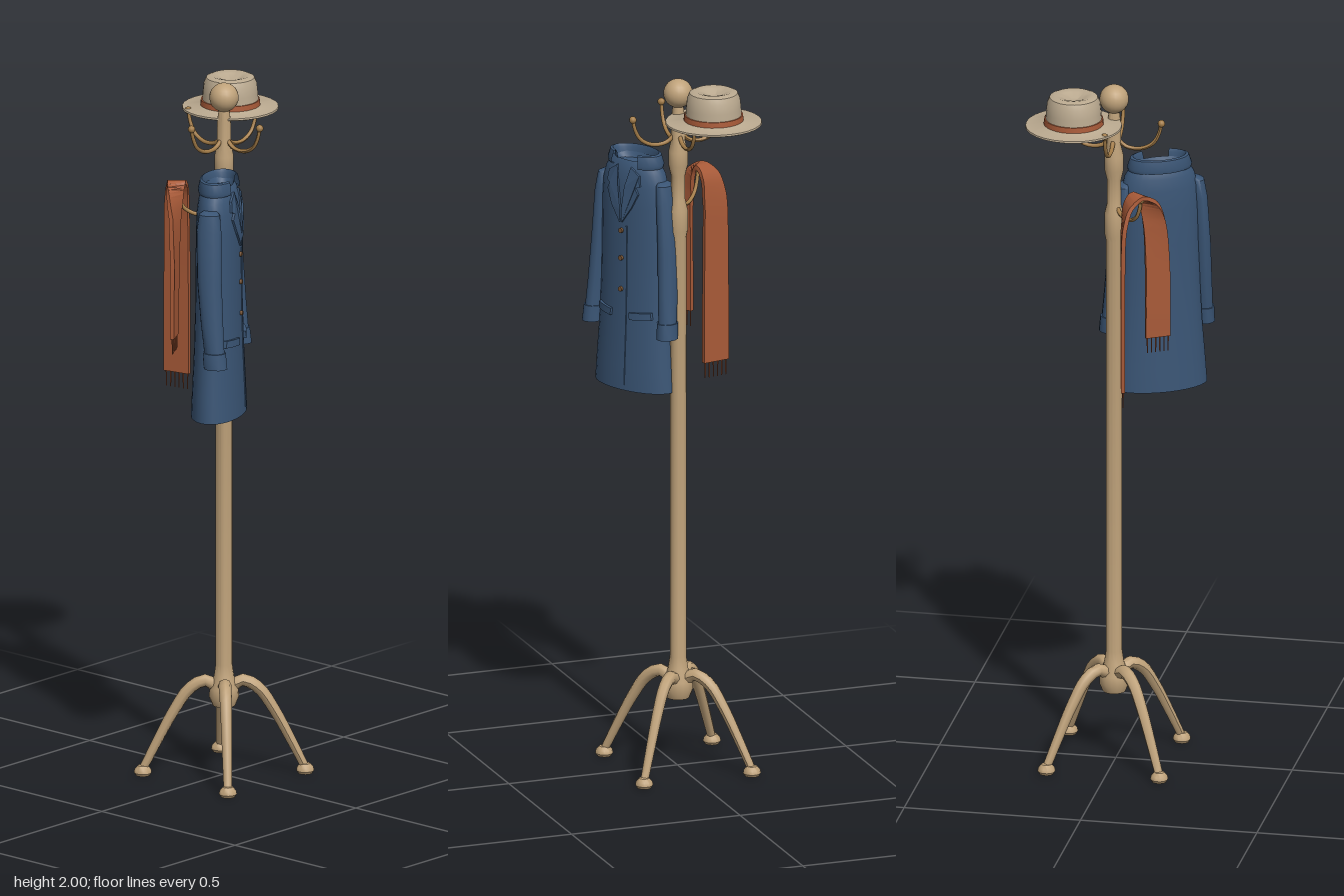
import * as THREE from 'three';
import { toCreasedNormals } from 'three/addons/utils/BufferGeometryUtils.js';

const paint = (color, side = THREE.FrontSide) => {
  const m = new THREE.MeshStandardMaterial({ side });
  m.color.set(color);
  return m;
};
const wood = paint(0xbfa27a), brass = paint(0xa37c48), felt = paint(0xbbaa90), rust = paint(0xa85a38);
const cloth = paint(0x3a5575, THREE.DoubleSide), horn = paint(0x7a5636);
const v2 = (list) => list.map(([x, y]) => new THREE.Vector2(x, y));
const v3 = (list) => list.map((p) => new THREE.Vector3(...p));
const lathe = (list, n = 24, ...arc) => toCreasedNormals(new THREE.LatheGeometry(v2(list), n, ...arc), 0.7);

function add(parent, name, geo, mat, x = 0, y = 0, z = 0) {
  const m = new THREE.Mesh(geo, mat);
  m.name = name;
  m.position.set(x, y, z);
  parent.add(m);
  return m;
}

// Tube whose radius runs from r0 to r1
function taperTube(points, r0, r1, segs, sides) {
  const curve = new THREE.CatmullRomCurve3(v3(points));
  const geo = new THREE.TubeGeometry(curve, segs, 1, sides);
  const pos = geo.attributes.position, v = new THREE.Vector3();
  for (let i = 0; i < pos.count; i++) {
    const t = Math.floor(i / (sides + 1)) / segs, c = curve.getPointAt(t);
    v.fromBufferAttribute(pos, i).sub(c).multiplyScalar(r0 + (r1 - r0) * t).add(c);
    pos.setXYZ(i, v.x, v.y, v.z);
  }
  geo.computeVertexNormals();
  return geo;
}

// Skin joining equal rings of points, closed at both ends
function loft(rings, crease) {
  const n = rings[0].length, idx = [], last = (rings.length - 1) * n;
  for (let r = 0; r < rings.length - 1; r++)
    for (let k = 0; k < n; k++) {
      const a = r * n + k, b = r * n + (k + 1) % n;
      idx.push(a, b, a + n, b, b + n, a + n);
    }
  for (let k = 1; k < n - 1; k++) idx.push(0, k + 1, k, last, last + k, last + k + 1);
  const geo = new THREE.BufferGeometry();
  geo.setAttribute('position', new THREE.Float32BufferAttribute(rings.flat().flatMap((p) => [p.x, p.y, p.z]), 3));
  geo.setIndex(idx);
  geo.computeVertexNormals();
  return toCreasedNormals(geo, crease);
}

function buildStand() {
  const g = new THREE.Group();
  g.name = 'stand';
  add(g, 'pole', lathe([[0, 0.2], [0.032, 0.2], [0.042, 0.225], [0.04, 0.25], [0.028, 0.285], [0.023, 0.32],
    [0.023, 1.54], [0.027, 1.56], [0.027, 1.62], [0.02, 1.65], [0.02, 1.72], [0.027, 1.75], [0.027, 1.79],
    [0.02, 1.82], [0.019, 1.89], [0.014, 1.93], [0, 1.93]], 16), wood);
  add(g, 'finial', new THREE.SphereGeometry(0.041, 20, 14), wood, 0, 1.959, 0);
  for (let i = 0; i < 4; i++) {
    const leg = new THREE.Group();
    leg.name = 'leg';
    leg.rotation.y = Math.PI / 4 + i * Math.PI / 2;
    add(leg, 'legArm', taperTube([[0.015, 0.25, 0], [0.05, 0.272, 0], [0.095, 0.25, 0], [0.14, 0.185, 0],
      [0.185, 0.1, 0], [0.222, 0.025, 0]], 0.019, 0.012, 16, 8), wood);
    add(leg, 'foot', lathe([[0, 0], [0.02, 0], [0.025, 0.008], [0.023, 0.018], [0.014, 0.028], [0, 0.03]], 12), wood, 0.226);
    g.add(leg);
  }
  // Four upper hooks on the axes, two lower hooks on the right diagonals
  const hooks = [0, 1, 2, 3].map((i) => [i * Math.PI / 2, 0]);
  hooks.push([Math.PI * 0.75, -0.195], [Math.PI * 1.25, -0.195]);
  for (const [angle, drop] of hooks) {
    const hook = new THREE.Group();
    hook.name = 'hook';
    hook.rotation.y = angle;
    hook.position.y = drop;
    add(hook, 'hookArm', taperTube([[0.01, 1.84, 0], [0.035, 1.82, 0], [0.075, 1.817, 0], [0.11, 1.835, 0],
      [0.127, 1.865, 0], [0.134, 1.895, 0]], 0.0065, 0.005, 18, 8), brass);
    add(hook, 'hookTip', new THREE.SphereGeometry(0.0105, 10, 8), brass, 0.134, 1.895, 0);
    g.add(hook);
  }
  g.position.x = 0.005;
  return g;
}

function buildHat() {
  const g = new THREE.Group();
  g.name = 'hat';
  add(g, 'hatBody', lathe([[0, 1.897], [0.08, 1.897], [0.128, 1.892], [0.135, 1.895], [0.134, 1.9], [0.085, 1.904],
    [0.079, 1.908], [0.077, 1.94], [0.074, 1.967], [0.067, 1.983], [0.053, 1.989], [0.035, 1.984],
    [0.015, 1.974], [0, 1.972]], 28), felt);
  add(g, 'hatBand', lathe([[0.077, 1.902], [0.084, 1.902], [0.082, 1.92], [0.076, 1.92]], 28), rust);
  g.position.set(0.106, 0, -0.068);
  return g;
}

function buildCoat() {
  const g = new THREE.Group();
  g.name = 'coat';
  const flat = 0.53;
  const profile = [[0.137, 1.09], [0.132, 1.16], [0.122, 1.28], [0.116, 1.4], [0.114, 1.52], [0.113, 1.62],
    [0.109, 1.68], [0.1, 1.715], [0.085, 1.74], [0.072, 1.75]];
  const body = lathe([[0, 1.13], [0.125, 1.115], [0.131, 1.09], ...profile, [0.06, 1.735], [0, 1.725]], 28);
  add(g, 'coatBody', body.scale(1, 1, flat), cloth);

  // Pushes a flat piece forward onto the curved coat front
  const onFront = (geo) => {
    const p = geo.attributes.position;
    for (let i = 0; i < p.count; i++) {
      const y = p.getY(i), x = p.getX(i);
      const k = Math.max(0, profile.findIndex((q, j) => j < profile.length - 1 && y <= profile[j + 1][1]));
      const [r0, y0] = profile[k], [r1, y1] = profile[k + 1];
      const r = r0 + (r1 - r0) * (y - y0) / (y1 - y0);
      p.setZ(i, p.getZ(i) + flat * Math.sqrt(Math.max(0, r * r - x * x)));
    }
    geo.computeVertexNormals();
    return geo;
  };

  // Stand-and-fall collar, open in front
  const collar = lathe([[0.068, 1.735], [0.09, 1.732], [0.093, 1.742], [0.084, 1.768], [0.076, 1.771],
    [0.07, 1.762], [0.068, 1.735]], 24, 0.55, Math.PI * 2 - 1.1);
  add(g, 'collar', collar.scale(1, 1, 0.6), cloth);
  add(g, 'frontEdge', onFront(new THREE.BoxGeometry(0.004, 0.46, 0.005, 1, 8, 1).translate(0.018, 1.335, 0)), cloth);
  for (const y of [1.55, 1.47, 1.38])
    add(g, 'button', onFront(new THREE.CylinderGeometry(0.007, 0.007, 0.009, 10).rotateX(Math.PI / 2).translate(0, y, 0.002)), horn);

  for (const s of [-1, 1]) {
    const lapel = new THREE.Shape(v2([[0.025, 1.735], [0.055, 1.715], [0.06, 1.685], [0.047, 1.68], [0.056, 1.662],
      [0.036, 1.62], [0.004, 1.575], [0.002, 1.61], [0.012, 1.68]].map(([x, y]) => [s * x, y])));
    add(g, 'lapel', onFront(new THREE.ExtrudeGeometry(lapel, { depth: 0.006, bevelEnabled: false })), cloth);
    const pocket = new THREE.BoxGeometry(0.062, 0.02, 0.012, 6, 1, 1).rotateZ(s * 0.08).translate(s * 0.065, 1.31, 0.002);
    add(g, 'pocketFlap', onFront(pocket), cloth);

    // Each ring: centre out, height, centre forward, half width, half depth
    const rings = [[0.1, 1.698, 0, 0.012, 0.018], [0.108, 1.69, 0, 0.02, 0.03], [0.114, 1.64, 0, 0.023, 0.036],
      [0.123, 1.5, 0.004, 0.025, 0.035], [0.13, 1.38, 0.013, 0.025, 0.032], [0.136, 1.3, 0.021, 0.024, 0.029],
      [0.136, 1.3, 0.021, 0.028, 0.033], [0.138, 1.255, 0.025, 0.029, 0.034], [0.138, 1.255, 0.025, 0.022, 0.027],
      [0.137, 1.275, 0.024, 0.021, 0.026]].map(([x, y, z, a, b]) =>
      Array.from({ length: 12 }, (_, k) => {
        const t = k / 12 * Math.PI * 2;
        return new THREE.Vector3(s * x + a * Math.cos(t), y, z + b * Math.sin(t));
      }));
    add(g, 'sleeve', loft(rings, 0.8), cloth);
  }
  g.position.set(-0.107, 0, 0.083);
  g.rotation.y = THREE.MathUtils.degToRad(28);
  return g;
}

function buildScarf() {
  const g = new THREE.Group();
  g.name = 'scarf';
  // Each station: x, y, z, heading of the width in degrees, width
  const st = [[-0.046, 1.15, -0.13, 78, 0.08], [-0.046, 1.32, -0.13, 78, 0.08], [-0.046, 1.5, -0.13, 78, 0.078],
    [-0.049, 1.63, -0.128, 76, 0.074], [-0.06, 1.69, -0.117, 66, 0.064], [-0.083, 1.712, -0.098, 45, 0.05],
    [-0.106, 1.692, -0.082, 8, 0.054], [-0.122, 1.63, -0.068, -20, 0.064], [-0.13, 1.5, -0.062, -31, 0.07],
    [-0.131, 1.4, -0.062, -31, 0.072], [-0.131, 1.285, -0.062, -31, 0.072]];
  const curve = new THREE.CatmullRomCurve3(v3(st.map((p) => p.slice(0, 3))));
  const steps = 50, rings = [];
  const widthDir = (deg) => {
    const a = THREE.MathUtils.degToRad(deg);
    return new THREE.Vector3(Math.cos(a), 0, Math.sin(a));
  };
  for (let i = 0; i <= steps; i++) {
    const f = i / steps * (st.length - 1), k = Math.min(Math.floor(f), st.length - 2);
    const mix = (j) => THREE.MathUtils.lerp(st[k][j], st[k + 1][j], f - k);
    const c = curve.getPoint(i / steps), w = widthDir(mix(3));
    const n = new THREE.Vector3().crossVectors(curve.getTangent(i / steps), w).normalize().multiplyScalar(0.006);
    w.multiplyScalar(mix(4) / 2);
    rings.push([[-1, -1], [1, -1], [1, 1], [-1, 1]].map(([a, b]) => c.clone().addScaledVector(w, a).addScaledVector(n, b)));
  }
  add(g, 'scarfBand', loft(rings, 0.5), rust);

  // Fringe threads under both ends
  for (const [x, y, z, deg, width] of [st[0], st[st.length - 1]])
    for (let i = 0; i < 6; i++) {
      const p = widthDir(deg).multiplyScalar((i / 5 - 0.5) * width * 0.85);
      add(g, 'fringe', new THREE.CylinderGeometry(0.0022, 0.0016, 0.05, 5), rust, x + p.x, y - 0.02, z + p.z);
    }
  return g;
}

export function createModel() {
  const model = new THREE.Group();
  model.name = 'coatStand';
  model.add(buildStand(), buildHat(), buildCoat(), buildScarf());
  return model;
}
